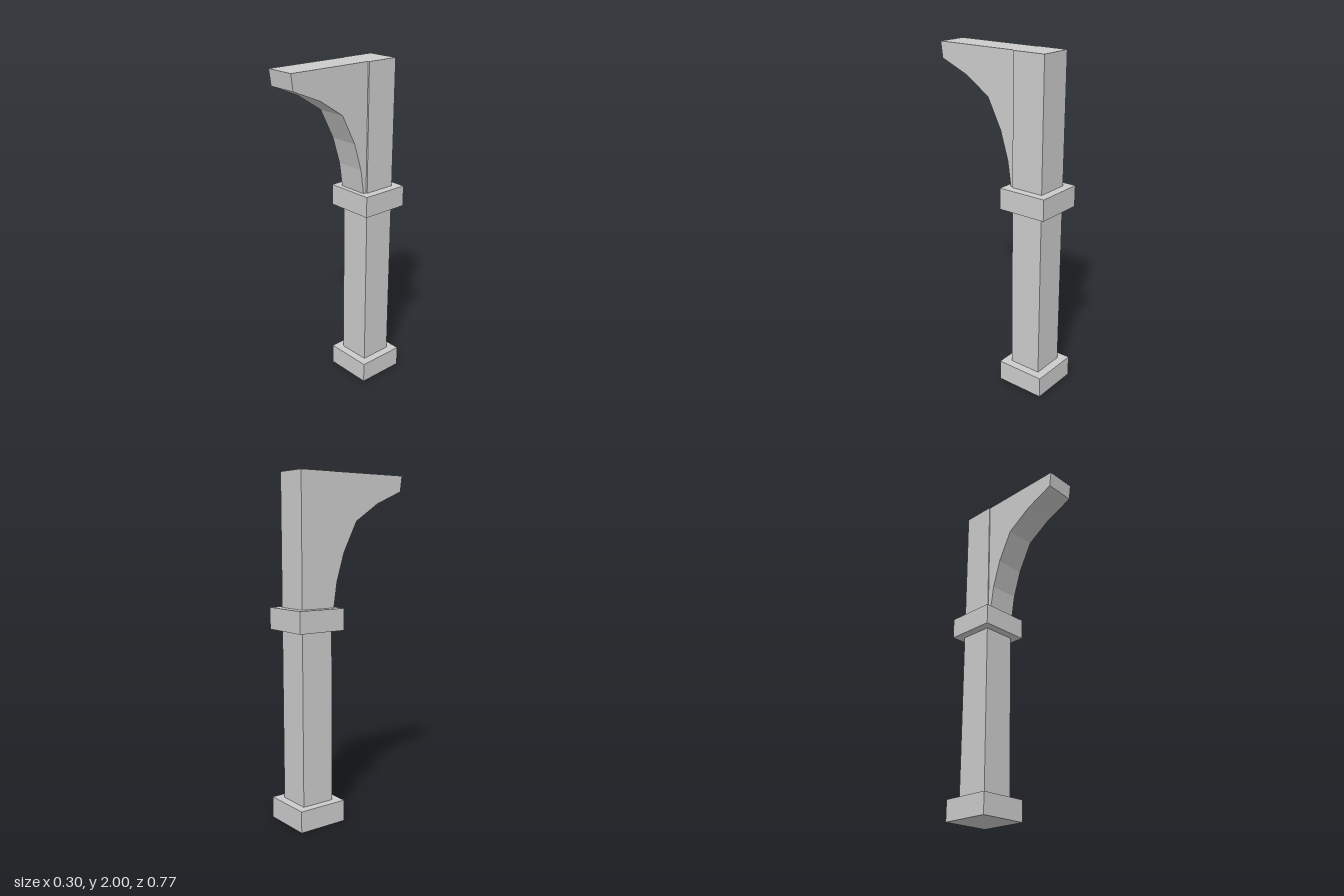
import * as THREE from 'three';

const POST_Z = -0.237; // centre line of the post

export function createModel() {
  const model = new THREE.Group();
  const material = new THREE.MeshStandardMaterial({ color: 0xcccccc, flatShading: true });

  const add = (name, geometry) => {
    const mesh = new THREE.Mesh(geometry, material);
    mesh.name = name;
    model.add(mesh);
    return mesh;
  };

  // Square block centred on the post, spanning bottom to top
  const block = (name, width, bottom, top) =>
    add(name, new THREE.BoxGeometry(width, top - bottom, width))
      .position.set(0, (bottom + top) / 2, POST_Z);

  block('basePlinth', 0.3, 0, 0.125);
  block('lowerPost', 0.2, 0.125, 1.125);
  block('collar', 0.3, 1.125, 1.25);
  block('upperPost', 0.2, 1.25, 2);

  // Faceted, curved bracket reaching forward: profile in (z, y)
  const profile = [
    [-0.137, 1.25], [-0.117, 1.25], [-0.095, 1.395], [-0.045, 1.558],
    [0.045, 1.733], [0.2, 1.834], [0.376, 1.908], [0.388, 2], [-0.137, 2],
  ].map(([z, y]) => new THREE.Vector2(z, y));
  const bracket = new THREE.ExtrudeGeometry(new THREE.Shape(profile), {
    depth: 0.184, bevelEnabled: false,
  });
  bracket.rotateY(-Math.PI / 2);
  bracket.translate(0.09, 0, 0);
  add('bracket', bracket);

  return model;
}
